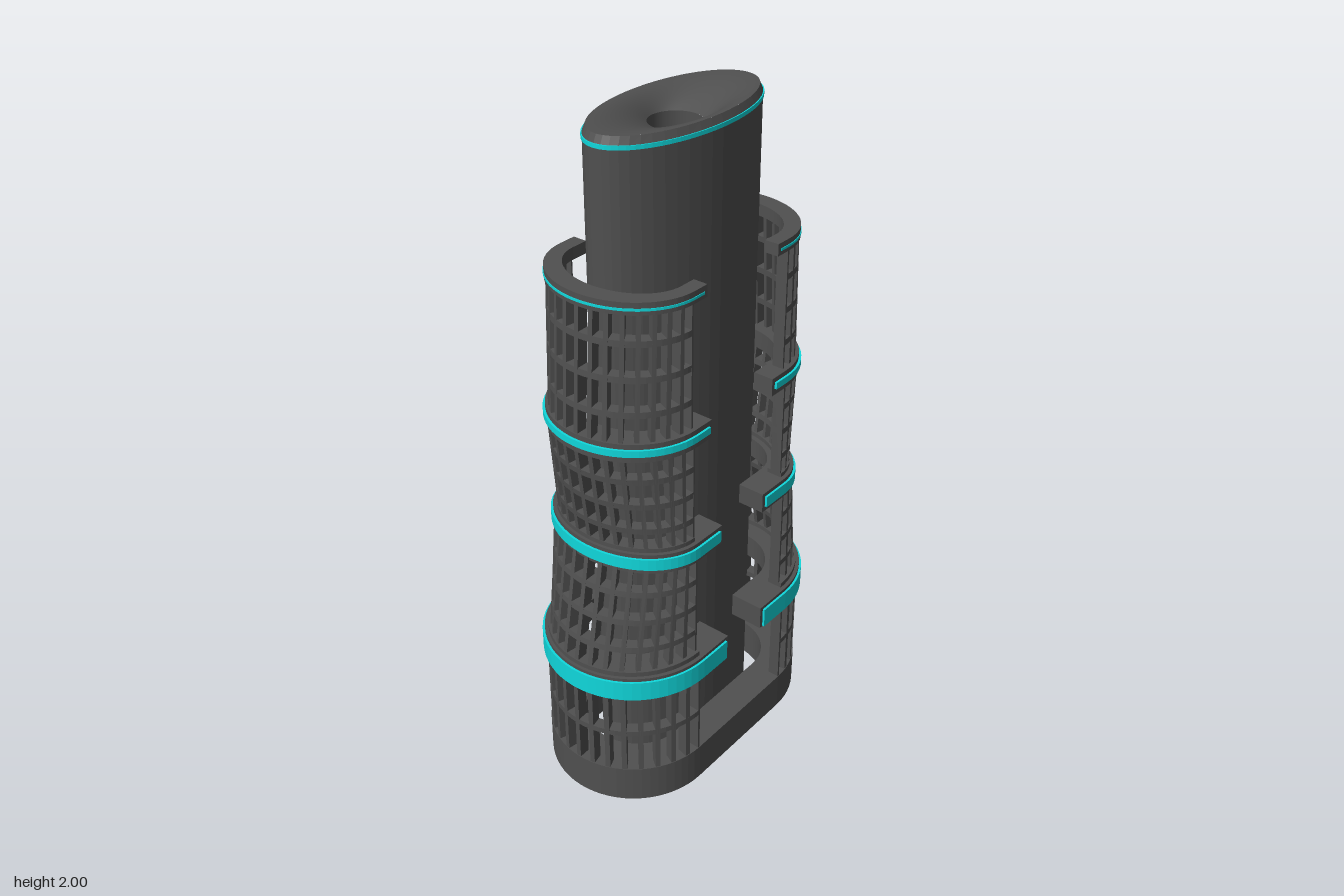
import * as THREE from 'three';
import { mergeGeometries } from 'three/addons/utils/BufferGeometryUtils.js';

const dark = new THREE.MeshStandardMaterial({ color: 0x505050, flatShading: true });
const darkSmooth = new THREE.MeshStandardMaterial({ color: 0x505050 });
const cyan = new THREE.MeshStandardMaterial({ color: 0x10d8dc });
const CX = 0.2; // centre of the rounded ends

function mesh(name, geometry, material) {
  const m = new THREE.Mesh(geometry, material);
  m.name = name;
  return m;
}

function build(positions, index) {
  const g = new THREE.BufferGeometry();
  g.setAttribute('position', new THREE.Float32BufferAttribute(positions, 3));
  g.setIndex(index);
  return g;
}

// Elliptical rings [y, rx, rz] joined from first to last
function loft(rings, n, smooth) {
  const pos = [], idx = [];
  for (const [y, rx, rz] of rings)
    for (let j = 0; j < n; j++) {
      const a = (j / n) * Math.PI * 2;
      pos.push(Math.cos(a) * rx, y, -Math.sin(a) * rz);
    }
  for (let i = 0; i + 1 < rings.length; i++)
    for (let j = 0; j < n; j++) {
      const k = (j + 1) % n;
      const a = i * n + j, b = i * n + k, c = b + n, d = a + n;
      idx.push(a, b, c, a, c, d);
    }
  let g = build(pos, idx);
  if (!smooth) g = g.toNonIndexed();
  g.computeVertexNormals();
  return g;
}

// Solid bar through four-cornered sections: outer low, outer high, inner high, inner low
function sweep(sections) {
  const idx = [];
  for (let k = 0; k + 1 < sections.length; k++)
    for (let e = 0; e < 4; e++) {
      const f = (e + 1) % 4;
      const a = k * 4 + e, b = a + 4, c = k * 4 + 4 + f, d = k * 4 + f;
      idx.push(a, b, c, a, c, d);
    }
  const l = (sections.length - 1) * 4;
  idx.push(0, 1, 2, 0, 2, 3, l, l + 2, l + 1, l, l + 3, l + 2);
  const g = build(sections.flat(2), idx).toNonIndexed();
  g.computeVertexNormals();
  return g;
}

const at = (a, y, rx, rz) => [CX + rx * Math.cos(a), y, rz * Math.sin(a)];
const angle = (t) => Math.PI / 2 - t * Math.PI;

// U-shaped band with straight arms reaching in to x = end
function band(y0, y1, out, inn, end) {
  const section = (a) => [at(a, y0, ...out), at(a, y1, ...out), at(a, y1, ...inn), at(a, y0, ...inn)];
  const arm = (a) => section(a).map(([, y, z]) => [end, y, z]);
  const list = [arm(Math.PI / 2)];
  for (let i = 0; i <= 32; i++) list.push(section(angle(i / 32)));
  list.push(arm(-Math.PI / 2));
  return sweep(list);
}

// Curved window grid; its end radius changes from rx0 to rx1 with height
function lattice({ y0, y1, rx0, rx1, rz, rows }) {
  const columns = 16, thick = 0.035, bars = [];
  const section = (t, lo, hi) => {
    const a = angle(t);
    const rx = (y) => rx0 + (rx1 - rx0) * (y - y0) / (y1 - y0);
    return [at(a, lo, rx(lo), rz), at(a, hi, rx(hi), rz),
      at(a, hi, rx(hi) - thick, rz - thick), at(a, lo, rx(lo) - thick, rz - thick)];
  };
  for (let i = 0; i <= columns; i++) {
    const lo = Math.max(0, (i - 0.15) / columns), hi = Math.min(1, (i + 0.15) / columns);
    bars.push(sweep([section(lo, y0, y1), section(hi, y0, y1)]));
  }
  for (let r = 0; r <= rows; r++) {
    const y = y0 + (y1 - y0) * r / rows;
    const lo = Math.max(y0, y - 0.009), hi = Math.min(y1, y + 0.009), list = [];
    for (let i = 0; i <= columns * 2; i++) list.push(section(i / columns / 2, lo, hi));
    bars.push(sweep(list));
  }
  return mergeGeometries(bars);
}

const tiers = [
  { y0: 0.11, y1: 0.41, rx0: 0.255, rx1: 0.255, rz: 0.255, rows: 2 },
  { y0: 0.47, y1: 0.83, rx0: 0.25, rx1: 0.186, rz: 0.24, rows: 4 },
  { y0: 0.86, y1: 1.19, rx0: 0.172, rx1: 0.212, rz: 0.228, rows: 4 },
  { y0: 1.21, y1: 1.61, rx0: 0.21, rx1: 0.185, rz: 0.22, rows: 4 },
];

// y range of the ledge and of its stripe, outer end radius, outer z, inner radii, arm ends
const ledges = [
  { y: [0.4, 0.475], stripe: [0.402, 0.465], rx: 0.258, rz: 0.262, inn: [0.15, 0.157], end: 0.08, lip: 0.49 },
  { y: [0.81, 0.872], stripe: [0.825, 0.86], rx: 0.185, rz: 0.243, inn: [0.12, 0.16], end: 0.095, lip: 0.885 },
  { y: [1.175, 1.23], stripe: [1.195, 1.215], rx: 0.212, rz: 0.232, inn: [0.14, 0.17], end: 0.135, lip: 0 },
  { y: [1.59, 1.625], stripe: [1.602, 1.609], rx: 0.19, rz: 0.223, inn: [0.135, 0.18], end: 0.15, lip: 0 },
];

function createSide(name) {
  const side = new THREE.Group();
  side.name = name;
  tiers.forEach((t, i) => side.add(mesh(`windowGrid${i + 1}`, lattice(t), dark)));
  ledges.forEach((l, i) => {
    const parts = [band(l.y[0], l.y[1], [l.rx, l.rz], l.inn, l.end)];
    if (l.lip) parts.push(band(l.y[1], l.lip, [l.rx - 0.009, l.rz - 0.012], [l.rx - 0.05, l.rz - 0.06], CX));
    side.add(mesh(`ledge${i + 1}`, mergeGeometries(parts), dark));
    const out = i === 3 ? 0.002 : 0.007;
    side.add(mesh(`stripe${i + 1}`,
      band(l.stripe[0], l.stripe[1], [l.rx + out, l.rz + out], [l.rx - 0.01, l.rz - 0.01], l.end + 0.012), cyan));
  });
  return side;
}

// Long rounded outline with elliptical ends
function stadium(path, rx, rz) {
  path.moveTo(-CX, -rz);
  path.lineTo(CX, -rz);
  path.absellipse(CX, 0, rx, rz, -Math.PI / 2, Math.PI / 2, false, 0);
  path.lineTo(-CX, rz);
  path.absellipse(-CX, 0, rx, rz, Math.PI / 2, Math.PI * 1.5, false, 0);
  return path;
}

export function createModel() {
  const model = new THREE.Group();
  model.name = 'tower';

  // Open base ring
  const outline = stadium(new THREE.Shape(), 0.257, 0.257);
  outline.holes.push(stadium(new THREE.Path(), 0.145, 0.157));
  const base = new THREE.ExtrudeGeometry(outline, { depth: 0.12, bevelEnabled: false, curveSegments: 16 });
  base.rotateX(-Math.PI / 2);
  model.add(mesh('baseRing', base, dark));

  // Elliptical core with a shaft through it
  const core = new THREE.Group();
  core.name = 'core';
  core.add(mesh('coreWall', loft([[0, 0.17, 0.095], [0, 0.305, 0.15], [1.98, 0.305, 0.15], [2, 0.295, 0.142]], 48), dark));
  const dish = [];
  for (let i = 0; i <= 10; i++) {
    const t = i / 10;
    dish.push([2 - 0.05 * t * t, 0.295 + (0.073 - 0.295) * t, 0.142 + (0.073 - 0.142) * t]);
  }
  core.add(mesh('roofDish', loft(dish, 64, true), darkSmooth));
  core.add(mesh('shaft', loft([[1.95, 0.073, 0.073], [0.15, 0.073, 0.073], [0, 0.17, 0.095]], 48, true), darkSmooth));
  core.add(mesh('roofStripe', loft([[1.969, 0.3, 0.145], [1.969, 0.308, 0.153], [1.98, 0.308, 0.153], [1.98, 0.3, 0.145]], 64), cyan));
  model.add(core);

  // Two matching curved wings
  const right = createSide('rightWing');
  right.rotation.y = Math.PI;
  model.add(createSide('leftWing'), right);
  return model;
}
